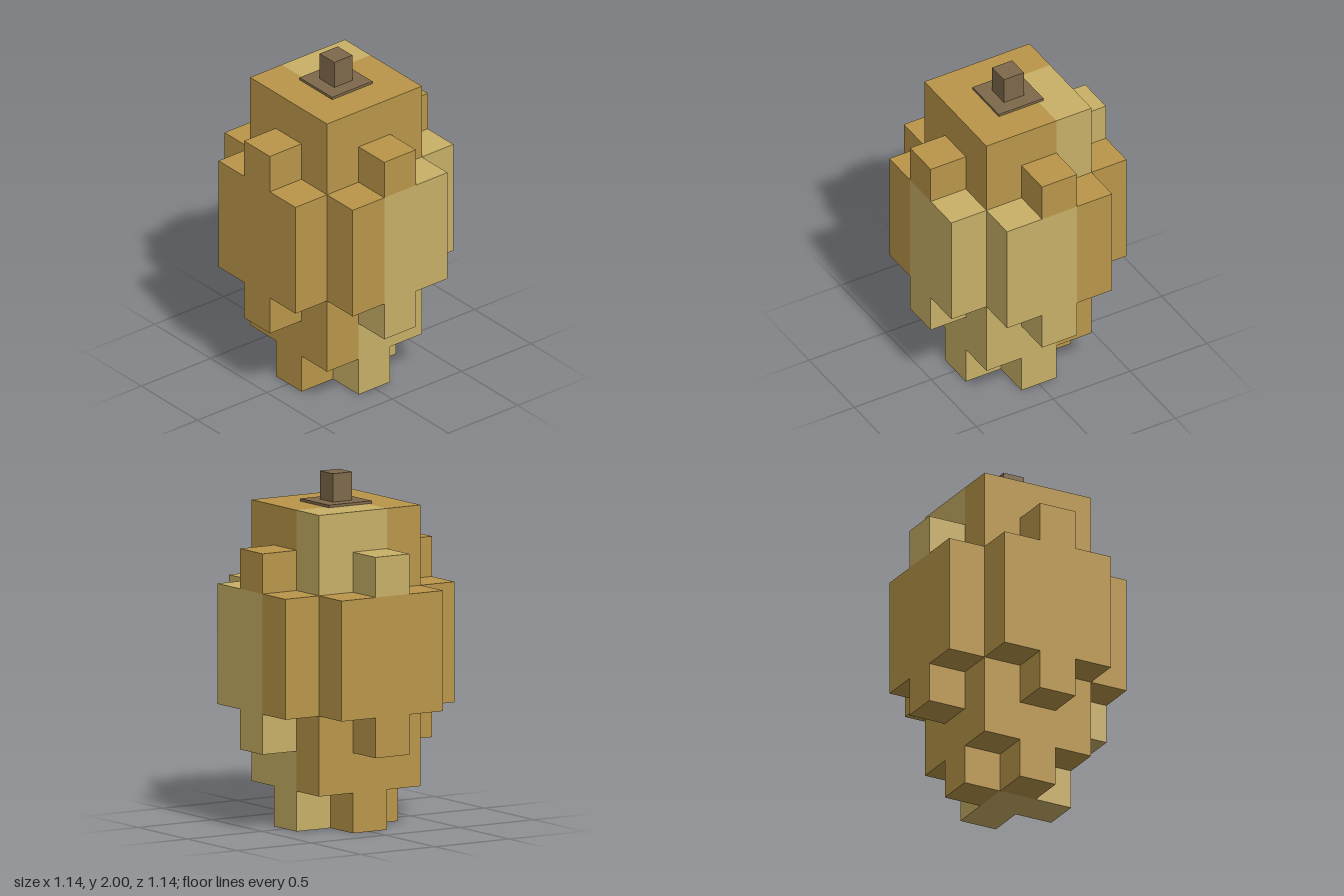
import * as THREE from 'three';
import { mergeGeometries } from 'three/addons/utils/BufferGeometryUtils.js';

const U = 0.228; // edge of one block
const LAYERS = 8;

// Which blocks are filled: a rounded column, widest in the middle
function filled(x, y, z) {
  const a = Math.abs(x), b = Math.abs(z), far = Math.max(a, b);
  if (y < 0 || y >= LAYERS) return false;
  if (y === 0) return a + b <= 1;
  if (y === 1 || y === 7) return far <= 1;
  if (y === 2 || y === 6) return far <= 1 || (far === 2 && a + b === 2);
  return far <= 2 && a + b <= 3;
}

// Pale patches: lower back-left quarter and upper back-right quarter
function patchOf(x, y, z) {
  if (z <= 0 && y <= 5 && x >= 0) return 'lowerPalePatch';
  if (z <= 0 && y >= 6 && x <= -1) return 'upperPalePatch';
  return 'huskBody';
}

// Six block directions, each with the turn that points a plane that way
const H = Math.PI / 2;
const SIDES = [
  [[0, 0, 1], 0, 0], [[0, 0, -1], 0, Math.PI],
  [[1, 0, 0], 0, H], [[-1, 0, 0], 0, -H],
  [[0, 1, 0], -H, 0], [[0, -1, 0], H, 0],
];

export function createModel() {
  const group = new THREE.Group();
  const material = (name, color) => {
    const m = new THREE.MeshStandardMaterial({ color });
    m.name = name;
    return m;
  };
  const ochre = material('ochre', 0xba964a);
  const pale = material('paleStraw', 0xc8b067);
  const brown = material('stemBrown', 0x7e694b);

  const add = (name, geometry, mat, y = 0) => {
    const mesh = new THREE.Mesh(geometry, mat);
    mesh.name = name;
    mesh.position.y = y;
    group.add(mesh);
  };

  // Outer faces of the blocks, gathered by patch
  const faces = { huskBody: [], lowerPalePatch: [], upperPalePatch: [] };
  for (let y = 0; y < LAYERS; y++)
    for (let x = -2; x <= 2; x++)
      for (let z = -2; z <= 2; z++) {
        if (!filled(x, y, z)) continue;
        for (const [[dx, dy, dz], rx, ry] of SIDES) {
          if (filled(x + dx, y + dy, z + dz)) continue;
          faces[patchOf(x, y, z)].push(new THREE.PlaneGeometry(U, U)
            .rotateX(rx).rotateY(ry)
            .translate((x + dx / 2) * U, (y + 0.5 + dy / 2) * U, (z + dz / 2) * U));
        }
      }
  for (const [name, list] of Object.entries(faces))
    add(name, mergeGeometries(list), name === 'huskBody' ? ochre : pale);

  // Stem on its thin collar
  const top = LAYERS * U;
  add('stemCollar', new THREE.BoxGeometry(0.29, 0.015, 0.29), brown, top + 0.0075);
  add('stem', new THREE.BoxGeometry(0.13, 2 - top - 0.015, 0.13), brown, (2 + top + 0.015) / 2);

  return group;
}
